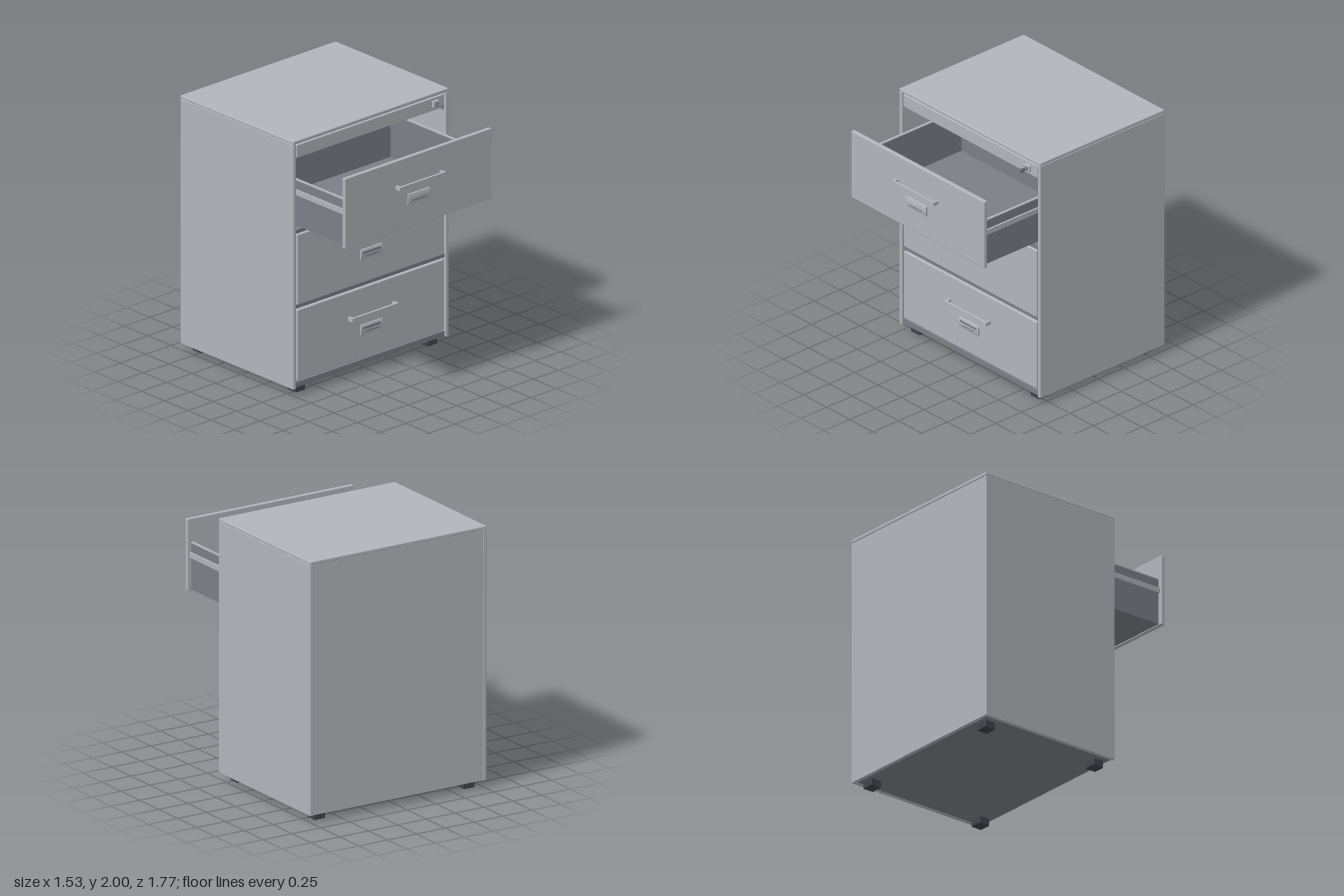
import * as THREE from 'three';
import { RoundedBoxGeometry } from 'three/addons/geometries/RoundedBoxGeometry.js';

export function createModel() {
  const model = new THREE.Group();
  model.name = 'drawerCabinet';

  const material = (name, color) => {
    const m = new THREE.MeshStandardMaterial({ color });
    m.name = name;
    return m;
  };
  const light = material('lightGreyPanel', 0xb1b4b9);
  const dark = material('darkGreyMetal', 0x7b7e86);
  const black = material('charcoalPlastic', 0x414349);

  const add = (parent, name, geometry, mat) => {
    const mesh = new THREE.Mesh(geometry, mat);
    mesh.name = name;
    parent.add(mesh);
    return mesh;
  };
  // Box given by its limits on each axis; a radius softens its edges
  const box = (parent, name, mat, [x0, x1], [y0, y1], [z0, z1], radius = 0) => {
    const size = [x1 - x0, y1 - y0, z1 - z0];
    const geometry = radius
      ? new RoundedBoxGeometry(...size, 2, radius)
      : new THREE.BoxGeometry(...size);
    geometry.translate((x0 + x1) / 2, (y0 + y1) / 2, (z0 + z1) / 2);
    return add(parent, name, geometry, mat);
  };
  // Limits mirrored to the other side of x = 0
  const sided = (s, a, b) => (s > 0 ? [a, b] : [-b, -a]);

  // Carcass
  const carcass = new THREE.Group();
  carcass.name = 'carcass';
  model.add(carcass);
  box(carcass, 'topPanel', light, [-0.765, 0.765], [1.972, 2], [-0.885, 0.33], 0.008);
  box(carcass, 'backPanel', light, [-0.735, 0.735], [0.06, 1.972], [-0.88, -0.85]);
  box(carcass, 'bottomPanel', dark, [-0.735, 0.735], [0.06, 0.1], [-0.85, 0.315]);
  for (const s of [-1, 1]) {
    box(carcass, 'sidePanel', light, sided(s, 0.735, 0.765), [0.055, 1.974], [-0.882, 0.33], 0.006);
    for (const z of [0.235, -0.785])
      box(carcass, 'foot', black, sided(s, 0.6, 0.695), [0, 0.06], [z - 0.046, z + 0.046], 0.006);
  }
  for (const y of [0.693, 1.28])
    box(carcass, 'dividerRail', dark, [-0.735, 0.735], [y - 0.014, y + 0.014], [0.2, 0.318]);
  box(carcass, 'headerPanel', light, [-0.727, 0.727], [1.86, 1.962], [0.295, 0.325], 0.006);

  // Lock with key
  const lock = new THREE.Group();
  lock.name = 'lock';
  model.add(lock);
  box(lock, 'lockPlate', light, [0.605, 0.661], [1.885, 1.941], [0.318, 0.343], 0.008);
  const barrel = new THREE.CylinderGeometry(0.016, 0.016, 0.01, 20);
  barrel.rotateX(Math.PI / 2).translate(0.633, 1.912, 0.347);
  add(lock, 'lockBarrel', dark === null ? null : barrel, dark);
  box(lock, 'keyStem', dark, [0.63, 0.637], [1.906, 1.916], [0.343, 0.375]);
  box(lock, 'keyHead', dark, [0.63, 0.637], [1.892, 1.928], [0.37, 0.41]);

  // U-shaped handle, drawn in plan and extruded upward
  const handleGeometry = () => {
    const shape = new THREE.Shape();
    [[-0.228, 0], [-0.228, 0.05], [0.228, 0.05], [0.228, 0], [0.208, 0],
      [0.208, 0.032], [-0.208, 0.032], [-0.208, 0]]
      .forEach(([x, z], i) => (i ? shape.lineTo(x, -z) : shape.moveTo(x, -z)));
    const geometry = new THREE.ExtrudeGeometry(shape, { depth: 0.03, bevelEnabled: false });
    // plan coordinates become x and z
    return geometry.rotateX(-Math.PI / 2).translate(0, -0.015, 0);
  };

  // Label holder with a shallow bowed section, extruded along x
  const holderGeometry = () => {
    const shape = new THREE.Shape();
    shape.moveTo(0, -0.042);
    shape.lineTo(-0.008, -0.04);
    shape.quadraticCurveTo(-0.022, 0, -0.008, 0.04);
    shape.lineTo(0, 0.042);
    const geometry = new THREE.ExtrudeGeometry(shape, { depth: 0.215, bevelEnabled: false, curveSegments: 8 });
    return geometry.rotateY(Math.PI / 2).translate(-0.11, 0, 0);
  };

  // Each drawer is modelled about its front's centre, front face at z = 0
  const drawer = (name, y, z) => {
    const g = new THREE.Group();
    g.name = name;
    g.position.set(0, y, z);
    model.add(g);
    box(g, 'drawerFront', light, [-0.722, 0.722], [-0.276, 0.276], [-0.033, 0], 0.008);

    // Tray
    box(g, 'drawerFloor', dark, [-0.69, 0.69], [-0.266, -0.248], [-1.05, -0.033]);
    box(g, 'drawerBack', dark, [-0.67, 0.67], [-0.248, 0.095], [-1.05, -1.032]);
    for (const s of [-1, 1]) {
      box(g, 'drawerSide', dark, sided(s, 0.672, 0.69), [-0.248, 0.088], [-1.05, -0.033]);
      box(g, 'sideCap', light, sided(s, 0.671, 0.691), [0.088, 0.096], [-1.05, -0.033]);
      box(g, 'slideRail', light, sided(s, 0.69, 0.704), [-0.02, 0.02], [-1.05, -0.033]);
    }

    // Front fittings
    add(g, 'handle', handleGeometry(), light).position.set(0, 0.07, 0);
    add(g, 'labelHolder', holderGeometry(), light).position.set(0, -0.053, 0);
    box(g, 'labelSlot', dark, [-0.068, 0.062], [-0.07, -0.062], [0.012, 0.0165]);
    if (z < 0.5)
      box(g, 'labelCard', dark, [-0.092, 0.087], [-0.046, -0.03], [0.011, 0.0155]);
  };
  drawer('lowerDrawer', 0.393, 0.328);
  drawer('middleDrawer', 0.983, 0.328);
  drawer('upperDrawer', 1.575, 0.838);

  return model;
}
